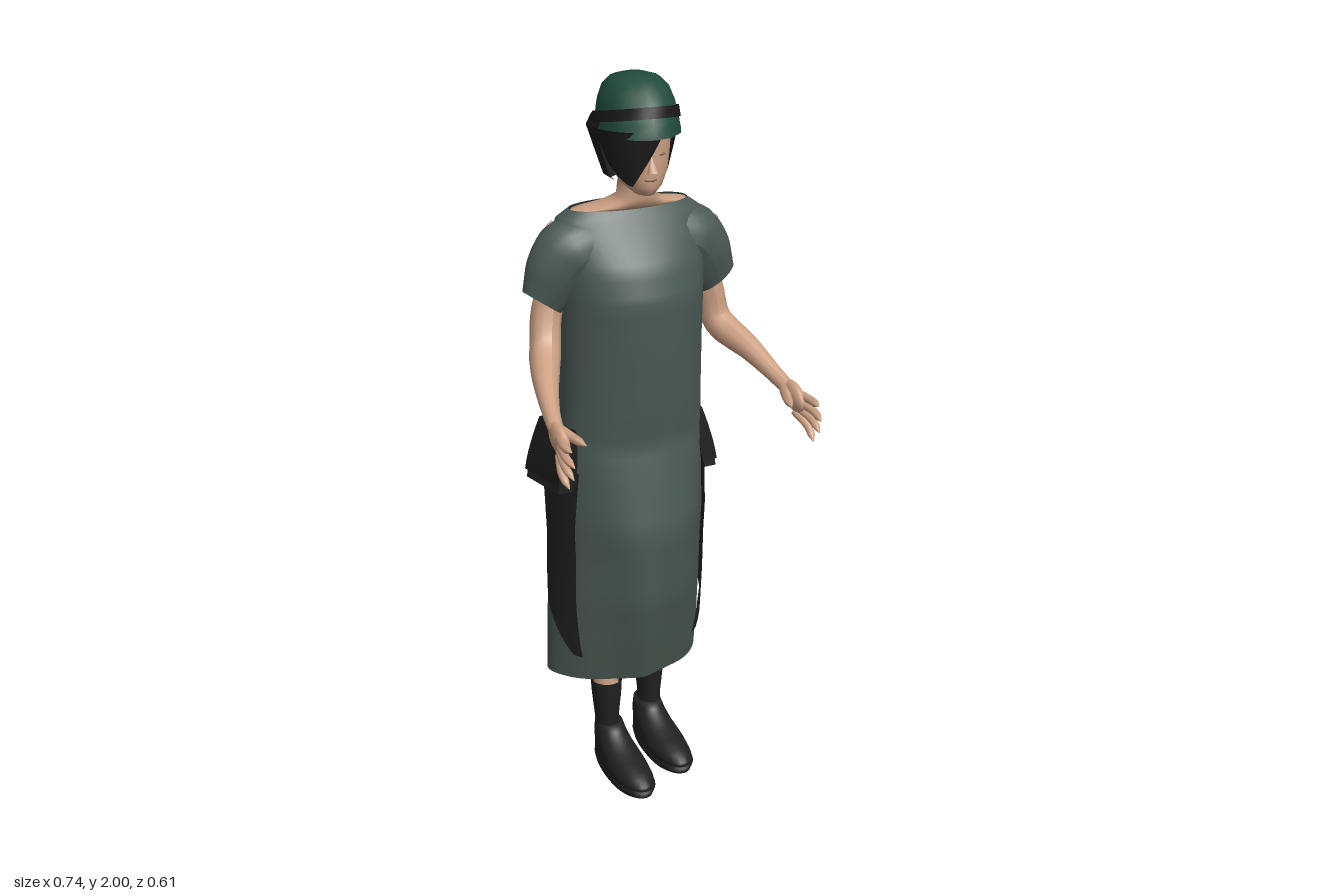
import * as THREE from 'three';

const paint = (name, color, side = THREE.FrontSide) => {
  const m = new THREE.MeshStandardMaterial({ color, side });
  m.name = name;
  return m;
};
const { lerp, clamp } = THREE.MathUtils;
const V = (x, y, z) => new THREE.Vector3(x, y, z);
const power = (x, e) => Math.sign(x) * Math.abs(x) ** e;

// grid surface: u runs around (seen from outside, to the right), v runs upward
function surface(fn, nu, nv, closed) {
  const cols = closed ? nu : nu + 1, pos = [], idx = [];
  for (let j = 0; j <= nv; j++)
    for (let i = 0; i < cols; i++) pos.push(...fn(i / nu, j / nv));
  for (let j = 0; j < nv; j++)
    for (let i = 0; i < nu; i++) {
      const a = j * cols + i, b = j * cols + (i + 1) % cols;
      idx.push(a, b, b + cols, a, b + cols, a + cols);
    }
  const g = new THREE.BufferGeometry();
  g.setAttribute('position', new THREE.Float32BufferAttribute(pos, 3));
  g.setIndex(idx);
  g.computeVertexNormals();
  return g;
}

// rings, bottom to top: [y, half width, front z, back z, z of widest point]
function ringAt(rings, t) {
  const f = clamp(t, 0, 1) * (rings.length - 1), i = Math.min(Math.floor(f), rings.length - 2);
  return rings[i].map((a, k) => lerp(a, rings[i + 1][k], f - i));
}
function loft(rings, { seg = 32, from = 0, to = Math.PI * 2, tilt = 0, sub = 2 } = {}) {
  const closed = to - from > 6.28;
  const full = rings.map(([y, w, zf, zb, zc = (zf + zb) / 2]) => [y, w, zf, zb, zc]);
  return surface((u, v) => {
    const [y, w, zf, zb, zc] = ringAt(full, v);
    const a = lerp(from, to, u), c = Math.cos(a);
    return [w * Math.sin(a), y + tilt * c, zc + (c > 0 ? zf - zc : zc - zb) * c];
  }, seg, (rings.length - 1) * sub, closed);
}

// tube with changing radius along a path; flat is the z thickness reached at the end
function sweep(points, radii, { seg = 12, n = 14, flat = 1 } = {}) {
  const curve = new THREE.CatmullRomCurve3(points.map(p => V(...p)));
  const g = new THREE.TubeGeometry(curve, n, 1, seg), p = g.attributes.position, v = V();
  for (let i = 0; i < p.count; i++) {
    const t = Math.floor(i / (seg + 1)) / n, c = curve.getPointAt(t);
    const f = t * (radii.length - 1), k = Math.min(Math.floor(f), radii.length - 2);
    v.fromBufferAttribute(p, i).sub(c).multiplyScalar(lerp(radii[k], radii[k + 1], f - k));
    v.z *= lerp(1, flat, t);
    p.setXYZ(i, c.x + v.x, c.y + v.y, c.z + v.z);
  }
  g.computeVertexNormals();
  return g;
}

const DRESS = [
  [0.30, 0.225, -0.06, -0.298, -0.21], [0.42, 0.225, -0.02, -0.300, -0.20],
  [0.57, 0.222, 0.022, -0.298, -0.19], [0.78, 0.215, 0.042, -0.294, -0.17],
  [0.92, 0.206, 0.014, -0.295, -0.155], [1.02, 0.200, -0.008, -0.290, -0.14],
  [1.12, 0.197, 0.004, -0.266, -0.14], [1.30, 0.196, 0.020, -0.262, -0.14],
  [1.43, 0.198, 0.028, -0.262, -0.14], [1.51, 0.206, 0.004, -0.260, -0.145],
  [1.58, 0.212, -0.04, -0.250, -0.145], [1.63, 0.200, -0.07, -0.230, -0.15],
  [1.655, 0.165, -0.085, -0.210, -0.15],
];
// the skirt is narrower towards the front, the back is fuller
const roundness = (y, front) => front ? 1 + 0.22 * clamp((1 - y) / 0.3, 0, 1) : 0.8;
// half width of the dress at a height and depth
function dressWidth(y, z) {
  let i = 0;
  while (i < DRESS.length - 2 && DRESS[i + 1][0] < y) i++;
  const f = (y - DRESS[i][0]) / (DRESS[i + 1][0] - DRESS[i][0]);
  const [, w, zf, zb, zc] = DRESS[i].map((a, k) => lerp(a, DRESS[i + 1][k], f));
  const front = z > zc, e = roundness(y, front);
  const t = front ? (z - zc) / (zf - zc) : (zc - z) / (zc - zb);
  return w * Math.max(0, 1 - t ** (2 / e)) ** (e / 2);
}

export function createModel() {
  const model = new THREE.Group();
  const cloth = paint('grey green cloth', 0x4b5a54, THREE.DoubleSide);
  const felt = paint('dark green felt', 0x1f4a3b, THREE.DoubleSide);
  const black = paint('black hair', 0x1b1a1a, THREE.DoubleSide);
  const leather = paint('black leather', 0x202020, THREE.DoubleSide);
  const skin = paint('skin', 0xcda184);
  const lip = paint('lips', 0x9c6a58);
  const add = (name, geo, mat, parent = model) => {
    const m = new THREE.Mesh(geo, mat);
    m.name = name;
    parent.add(m);
    return m;
  };

  // dress with soft folds in the skirt and a flared, lifted hem corner at the left back
  add('dress', surface((u, v) => {
    const [y, w, zf, zb, zc] = ringAt(DRESS, v), a = u * Math.PI * 2;
    const c = Math.cos(a), s = Math.sin(a), k = clamp((1.1 - y) / 0.4, 0, 1);
    const flare = 0.26 * clamp((0.6 - y) / 0.3, 0, 1) * Math.exp(-(((a - 2.3) / 0.32) ** 2));
    const fold = 1 + flare + 0.028 * k * Math.sin(7 * a + 6 * y) * c * c;
    const e = roundness(y, c > 0);
    return [w * power(s, e) * fold, y + flare * 0.13, zc + (c > 0 ? zf - zc : zc - zb) * power(c, e) * fold];
  }, 64, 48, true), cloth);

  // shoulders and neck
  add('shoulders', loft([
    [1.6, 0.17, -0.07, -0.22], [1.635, 0.166, -0.085, -0.212], [1.653, 0.162, -0.087, -0.208],
    [1.664, 0.1, -0.06, -0.19], [1.69, 0.052, -0.045, -0.155], [1.76, 0.048, -0.04, -0.14],
  ]), skin);

  for (const s of [-1, 1]) {
    const L = s > 0, side = L ? 'left' : 'right';
    // sleeve
    add(side + 'Sleeve', sweep([[s * 0.1, 1.562, -0.145], [s * 0.172, 1.534, -0.145], [s * 0.252, 1.42, -0.14]],
      [0.082, 0.098, 0.085, 0.06], { seg: 24, flat: 0.7 }), cloth);

    // worn holes on the shoulder: angle around the sleeve, shift along it, size
    const holes = L ? [[-0.15, -0.02, 0.016], [-0.35, -0.005, 0.018], [-0.6, -0.03, 0.012], [0.15, 0.01, 0.012],
      [-0.5, 0.02, 0.01]] : [[-0.4, -0.03, 0.013], [-0.6, 0, 0.009]];
    holes.forEach(([a, d, r]) => {
      const n = V(s * 0.66 * Math.cos(a), 0.75 * Math.cos(a), Math.sin(a));
      const hole = add(side + 'WornHole', new THREE.SphereGeometry(1, 6, 6), skin);
      hole.scale.set(r, 0.0045, r * 0.6);
      hole.position.set(s * (0.175 + d * 0.75), 1.528 - d * 0.66, -0.145)
        .add(n.clone().multiply(V(0.095, 0.095, 0.086)));
      hole.quaternion.setFromUnitVectors(V(0, 1, 0), n);
    });

    // arm and hand
    const wrist = L ? [0.336, 1.185, 0.085] : [-0.334, 1.2, 0.125];
    const [wx, wy, wz] = wrist;
    add(side + 'Arm', sweep([[s * 0.18, 1.52, -0.145], [s * 0.232, 1.4, -0.15],
      [s * 0.257, 1.3, L ? -0.14 : -0.11], [s * 0.3, 1.245, L ? -0.03 : 0], wrist,
      [wx + s * 0.004, wy - 0.01, wz + 0.03]],
    [0.046, 0.043, 0.041, 0.041, 0.041, 0.036, 0.029, 0.023, 0.02], { n: 24 }), skin);
    const palm = add(side + 'Palm', new THREE.SphereGeometry(1, 14, 10), skin);
    palm.scale.set(0.019, 0.037, 0.056);
    palm.position.set(wx + s * 0.008, wy - 0.024, wz + 0.055);
    palm.rotation.x = 0.3;
    for (let i = 0; i < 4; i++) {
      const y0 = wy - 0.012 - i * 0.018, reach = [0.165, 0.182, 0.175, 0.145][i];
      add(side + 'Finger', sweep([[wx + s * 0.01, y0, wz + 0.06],
        [wx + s * 0.024, y0 - 0.005 - i * 0.008, wz + reach * 0.75],
        [wx + s * 0.02, y0 - 0.006 - i * 0.017, wz + reach]],
      [0.012, 0.012, 0.0115, 0.011, 0.01, 0.001], { seg: 7, n: 10 }), skin);
    }
    add(side + 'Thumb', sweep([[wx, wy - 0.01, wz + 0.02], [wx - s * 0.02, wy - 0.02, wz + 0.07],
      [wx - s * 0.036, wy - 0.025, wz + 0.125]], [0.016, 0.015, 0.013, 0.011, 0.001], { seg: 7, n: 8 }), skin);

    // leg, stocking and shoe
    const lx = s * 0.087, lz = L ? -0.212 : -0.122;
    add(side + 'Leg', sweep([[s * 0.09, 0.85, -0.14], [s * 0.085, 0.5, -0.15], [lx, 0.22, lz]],
      [0.065, 0.05, 0.042, 0.034]), skin);
    add(side + 'Stocking', loft([
      [0.09, 0.032, 0.038, -0.042], [0.16, 0.032, 0.038, -0.042], [0.24, 0.041, 0.043, -0.047],
      [0.285, 0.044, 0.044, -0.05]]), leather).position.set(lx, 0, lz);
    const shoe = new THREE.Group();
    shoe.name = side + 'Shoe';
    shoe.position.set(lx - s * 0.006, L ? 0.005 : 0.018, lz);
    shoe.rotation.y = 0.03;
    model.add(shoe);
    add(side + 'Upper', loft([
      [0.015, 0.05, 0.235, -0.056, 0.13], [0.035, 0.056, 0.238, -0.06, 0.12],
      [0.058, 0.052, 0.2, -0.058, 0.09], [0.08, 0.047, 0.12, -0.056, 0.04],
      [0.105, 0.042, 0.07, -0.052, 0.01], [0.13, 0.037, 0.045, -0.048, 0], [0.131, 0.001, 0, -0.001, 0],
    ]), leather, shoe);
    add(side + 'Sole', loft([[0, 0.001, 0.09, 0.08, 0.085], [0, 0.052, 0.235, -0.06, 0.13],
      [0.02, 0.058, 0.244, -0.064, 0.13], [0.022, 0.04, 0.2, -0.05, 0.12]], { sub: 1 }), black, shoe);

    // hanging pointed cloth panel, flat against the side of the skirt
    const back = L ? 0 : 0.03;
    add(side + 'HangingPanel', surface((u, v) => {
      const bottom = u < 0.18 ? 0.38 : lerp(0.38, 0.53, (u - 0.18) / 0.82);
      const y = lerp(bottom, 0.95, v);
      const z = lerp(lerp(-0.1, -0.07, v), lerp(-0.215, -0.26, v) + back, u);
      return [s * Math.max(dressWidth(y, z) + 0.011, lerp(0.165, 0.224, u)), y, z];
    }, 10, 14, false), leather);

    // hip bag: a soft wedge with a long flap over its outer side, its rear standing out
    const bag = new THREE.Group();
    bag.name = side + 'HipBag';
    bag.position.set(s * (L ? 0.215 : 0.23), 0.985, L ? -0.16 : -0.145);
    bag.rotation.set(0, -s * 0.2, s * 0.12);
    model.add(bag);
    const wedge = (w, h, d) => {
      const g = new THREE.BoxGeometry(w, h, d, 4, 6, 4), p = g.attributes.position;
      for (let i = 0; i < p.count; i++) {
        const t = p.getY(i) / h + 0.5, pinch = lerp(1, 0.4, t * t) - 0.3 * Math.max(0, 0.25 - t);
        p.setXYZ(i, p.getX(i) * pinch - s * 0.01 * t, p.getY(i), p.getZ(i) * lerp(1, 0.86, t));
      }
      g.computeVertexNormals();
      return g;
    };
    const thick = L ? 0.034 : 0.05, depth = L ? 0.18 : 0.15;
    add(side + 'Pouch', wedge(thick, 0.165, depth), leather, bag);
    add(side + 'Flap', wedge(thick + 0.008, 0.15, depth + 0.012), black, bag).position.y = 0.014;
  }

  // head, turned slightly to its right
  const head = new THREE.Group();
  head.name = 'head';
  head.position.set(0.004, 0, -0.108);
  head.rotation.y = -0.1;
  model.add(head);
  add('face', loft([
    [1.703, 0.002, 0.07, 0.04], [1.708, 0.026, 0.1, 0.01], [1.73, 0.052, 0.113, -0.03, 0.03],
    [1.765, 0.07, 0.116, -0.07, 0.02], [1.81, 0.078, 0.118, -0.09, 0.01], [1.88, 0.084, 0.118, -0.1, 0.01],
    [1.94, 0.07, 0.09, -0.09, 0]]), skin, head);
  const nose = add('nose', new THREE.ConeGeometry(0.015, 0.05, 8), skin, head);
  nose.position.set(0, 1.796, 0.121);
  nose.rotation.x = -0.25;
  const mouth = add('mouth', new THREE.SphereGeometry(1, 10, 6), lip, head);
  mouth.scale.set(0.017, 0.005, 0.004);
  mouth.position.set(0, 1.752, 0.113);
  const eye = add('leftEye', new THREE.SphereGeometry(1, 10, 6), lip, head);
  eye.scale.set(0.012, 0.004, 0.004);
  eye.position.set(0.031, 1.816, 0.109);
  eye.rotation.y = 0.35;

  // bobbed hair around the back and sides
  add('hair', loft([
    [1.728, 0.06, 0.02, -0.055], [1.745, 0.084, 0.06, -0.078], [1.8, 0.1, 0.075, -0.112],
    [1.862, 0.117, 0.09, -0.152], [1.885, 0.109, 0.1, -0.142]],
  { from: 1.22, to: Math.PI * 2 - 1.22 }), black, head);
  // fringe swept to a point in front of the right eye
  add('fringe', surface((u, v) => {
    const a = lerp(-1.5, 0.3, u);
    const low = u < 0.55 ? lerp(1.85, 1.735, (u / 0.55) ** 0.6) : lerp(1.735, 1.868, (u - 0.55) / 0.45);
    return [0.127 * Math.sin(a) * lerp(0.8, 1, v), lerp(low, 1.88, v), 0.01 + 0.128 * Math.cos(a) * lerp(0.9, 1, v)];
  }, 16, 5, false), black, head);

  // cap and its sloping ribbon
  add('cap', loft([
    [1.862, 0.109, 0.15, -0.132], [1.895, 0.104, 0.14, -0.132], [1.93, 0.098, 0.122, -0.126],
    [1.965, 0.086, 0.09, -0.108], [1.988, 0.064, 0.056, -0.08], [1.998, 0.034, 0.026, -0.045],
    [2.0, 0.001, -0.008, -0.01]], { seg: 14, sub: 1 }), felt, head);
  add('ribbon', loft([[1.882, 0.11, 0.14, -0.145], [1.91, 0.106, 0.131, -0.14]],
    { tilt: 0.032, sub: 1 }), black, head);

  return model;
}
